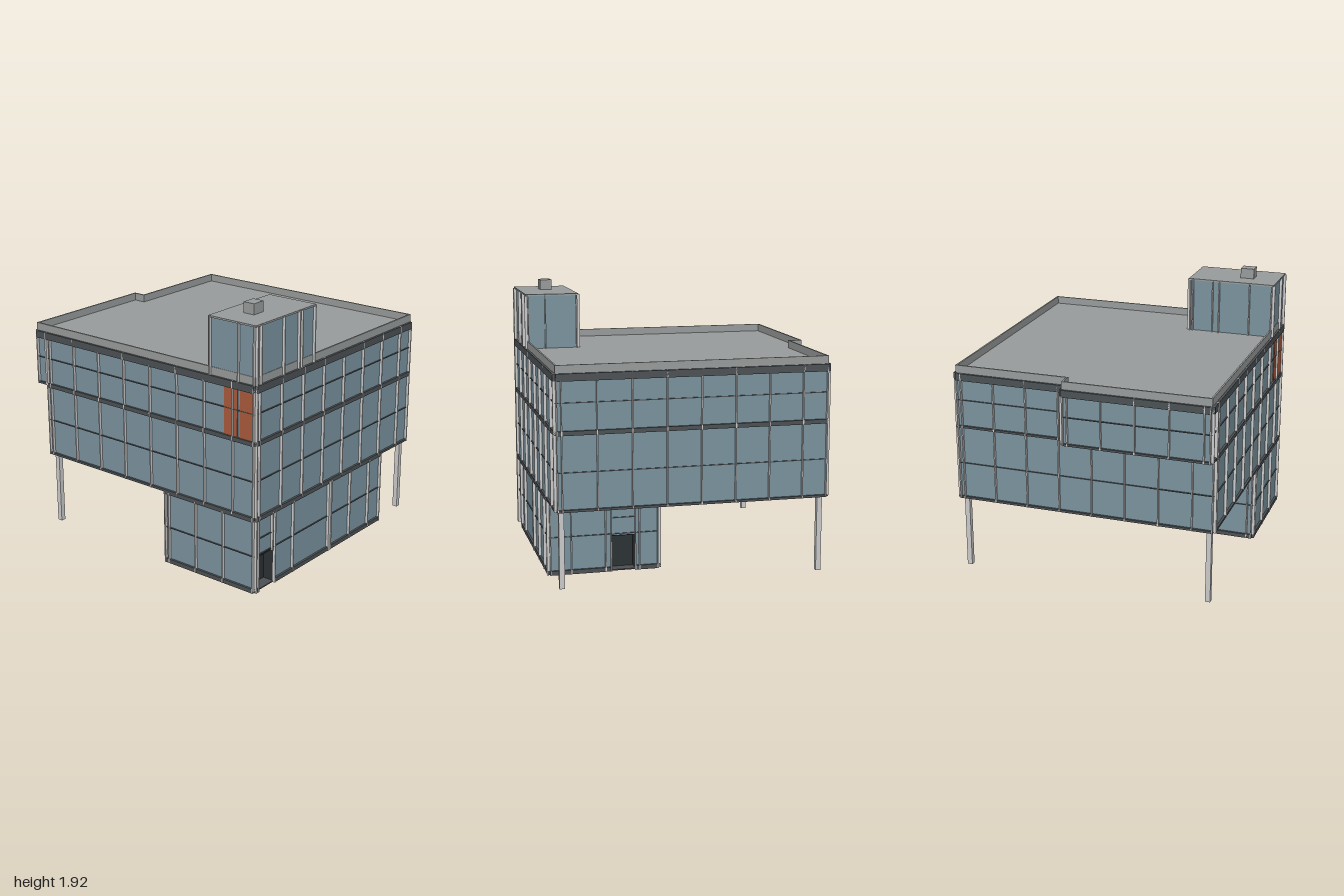
import * as THREE from 'three';

const mat = (color, side = THREE.FrontSide) =>
  new THREE.MeshStandardMaterial({ color, side });
const glass = mat(0x7b939f, THREE.DoubleSide);
const metal = mat(0xcccccc);
const dark = mat(0x4c5154);
const roofGrey = mat(0x999c9c);
const recess = mat(0x2b3134, THREE.DoubleSide);
const rust = mat(0xa85a3c);

// Box given by its min and max corners
function box(parent, name, material, [x0, y0, z0], [x1, y1, z1]) {
  const mesh = new THREE.Mesh(new THREE.BoxGeometry(x1 - x0, y1 - y0, z1 - z0), material);
  mesh.position.set((x0 + x1) / 2, (y0 + y1) / 2, (z0 + z1) / 2);
  mesh.name = name;
  parent.add(mesh);
  return mesh;
}

// Evenly spaced fin positions along a wall
function spaced(length, start = 0.035, step = 0.237) {
  const list = [];
  for (let u = start; u < length - 0.02; u += step) list.push(u);
  return list;
}

// Curtain wall from a to b ([x, z], outside on the right-hand side of travel);
// inside the group x runs along the wall, z points outwards
function wall(parent, name, a, b, y0, y1, { fins, rails = [], bands = [], door } = {}) {
  const group = new THREE.Group();
  const dx = b[0] - a[0], dz = b[1] - a[1];
  const length = Math.hypot(dx, dz);
  group.name = name;
  group.position.set(a[0], 0, a[1]);
  group.rotation.y = Math.atan2(-dz, dx);
  parent.add(group);

  // Glass sheet, notched at the foot for a doorway
  const outline = [[0, y0], [length, y0], [length, y1], [0, y1]];
  if (door) {
    const [d0, d1, h] = door;
    outline.splice(1, 0, [d0, y0], [d0, h], [d1, h], [d1, y0]);
  }
  const shape = new THREE.Shape(outline.map(p => new THREE.Vector2(...p)));
  const sheet = new THREE.Mesh(new THREE.ShapeGeometry(shape), glass);
  sheet.name = 'glass';
  group.add(sheet);

  // Horizontal bands and slim rails, interrupted by the doorway
  const strip = (label, material, lo, hi, depth) => {
    const spans = door && lo < door[2] ? [[0, door[0]], [door[1], length]] : [[0, length]];
    for (const [s, e] of spans) box(group, label, material, [s, lo, 0], [e, hi, depth]);
  };
  for (const [lo, hi, depth = 0.016] of bands) strip('band', dark, lo, hi, depth);
  for (const y of rails) strip('rail', dark, y - 0.003, y + 0.003, 0.008);

  // Vertical fins, including both ends
  for (const u of [0.004, ...(fins ?? spaced(length)), length - 0.004]) {
    const foot = door && u > door[0] + 0.01 && u < door[1] - 0.01 ? door[2] : y0;
    box(group, 'fin', metal, [u - 0.004, foot, 0], [u + 0.004, y1, 0.02]);
  }

  // Dark doorway set back behind the glass, with a rail above it
  if (door) {
    const [d0, d1, h] = door;
    box(group, 'doorway', recess, [d0, 0.005, -0.09], [d1, h, -0.08]);
    box(group, 'doorJamb', recess, [d0 - 0.005, 0.005, -0.09], [d0, h, 0]);
    box(group, 'doorJamb', recess, [d1, 0.005, -0.09], [d1 + 0.005, h, 0]);
    box(group, 'doorHead', recess, [d0, h, -0.09], [d1, h + 0.005, 0.004]);
    box(group, 'doorRail', dark, [d0, 0.377, 0], [d1, 0.383, 0.008]);
  }
  return group;
}

// Roof footprint grown by g, in shape space (y = -z)
function footprint(g, Type = THREE.Shape) {
  const points = [
    [-0.92 - g, 0.98 + g], [0.92 + g, 0.98 + g], [0.92 + g, -0.89 - g],
    [0.11 + g, -0.89 - g], [0.11 + g, -0.98 - g], [-0.92 - g, -0.98 - g],
  ];
  return new Type(points.map(([x, z]) => new THREE.Vector2(x, -z)));
}

function extrudeUp(parent, name, shape, y0, y1, material) {
  const geometry = new THREE.ExtrudeGeometry(shape, { depth: y1 - y0, bevelEnabled: false });
  geometry.rotateX(-Math.PI / 2);
  const mesh = new THREE.Mesh(geometry, material);
  mesh.position.y = y0;
  mesh.name = name;
  parent.add(mesh);
}

function createModel() {
  const model = new THREE.Group();
  model.name = 'officeBuilding';
  const L = -0.92, R = 0.92, F = 0.98, B = -0.89, bayX = 0.11, bayZ = -0.98;

  // Upper two storeys
  const upper = new THREE.Group();
  upper.name = 'upperStoreys';
  model.add(upper);
  const foot = [0.53, 0.546], middle = [1.045, 1.075], crown = [1.405, 1.455, 0.02];
  const full = { rails: [0.795, 1.26], bands: [foot, middle, crown] };
  const top = { rails: [1.26], bands: [[1.06, 1.075], crown] };
  wall(upper, 'frontWall', [L, F], [R, F], 0.53, 1.455, full);
  wall(upper, 'rightWall', [R, F], [R, B], 0.53, 1.455, full);
  const left = wall(upper, 'leftWall', [L, B], [L, F], 0.53, 1.455, full);
  wall(upper, 'backLowerWall', [R, B], [L, B], 0.53, 1.06, { rails: [0.795], bands: [foot] });
  wall(upper, 'backUpperWall', [R, B], [bayX, B], 1.06, 1.455, top);

  // Two rust-coloured panels at the front end of the left wall
  for (const u of [1.62, 1.75]) box(left, 'rustPanel', rust, [u, 1.075, 0], [u + 0.11, 1.405, 0.006]);

  // Overhanging bay at the back
  wall(upper, 'bayRightWall', [bayX, B], [bayX, bayZ], 1.06, 1.455, { ...top, fins: [] });
  wall(upper, 'bayBackWall', [bayX, bayZ], [L, bayZ], 1.06, 1.455, top);
  wall(upper, 'bayLeftWall', [L, bayZ], [L, B], 1.06, 1.455, { ...top, fins: [] });
  box(upper, 'baySoffit', dark, [L, 1.06, bayZ], [bayX, 1.07, B]);
  box(upper, 'soffit', dark, [L, 0.53, B], [R, 0.54, F]);

  // Roof deck and thin parapet
  extrudeUp(model, 'roofDeck', footprint(0), 1.44, 1.456, roofGrey);
  const rim = footprint(0.003);
  rim.holes.push(footprint(-0.009, THREE.Path));
  extrudeUp(model, 'parapet', rim, 1.455, 1.51, roofGrey);

  // Ground storey
  const ground = new THREE.Group();
  ground.name = 'groundStorey';
  model.add(ground);
  const gR = 0.575, gB = 0.215;
  const low = { rails: [0.265], bands: [[0, 0.03], [0.515, 0.53]] };
  wall(ground, 'groundFront', [L, F], [gR, F], 0, 0.53, {
    ...low, door: [0.03, 0.21, 0.25], fins: [0.03, 0.18, 0.21, 0.415, 0.865, 1.1, 1.34],
  });
  wall(ground, 'groundRight', [gR, F], [gR, gB], 0, 0.53, {
    ...low, door: [0.43, 0.6, 0.25], fins: [0.15, 0.39, 0.43, 0.6, 0.63],
  });
  wall(ground, 'groundBack', [gR, gB], [L, gB], 0, 0.53, low);
  wall(ground, 'groundLeft', [L, gB], [L, F], 0, 0.53, low);
  box(ground, 'groundSlab', dark, [L, 0, gB], [gR, 0.008, F]);
  box(ground, 'frontPier', metal, [-0.09, 0, 0.97], [-0.065, 0.53, 1]);

  // Free-standing posts
  for (const [x, z] of [[0.887, 0.95], [0.887, -0.852], [-0.887, -0.852]])
    box(model, 'post', metal, [x - 0.018, 0, z - 0.018], [x + 0.018, 0.53, z + 0.018]);

  // Roof house with its vent
  const house = new THREE.Group();
  house.name = 'roofHouse';
  model.add(house);
  const hR = -0.295, hB = 0.615;
  wall(house, 'houseFront', [L, F], [hR, F], 1.455, 1.845, { fins: [0.045, 0.285, 0.45, 0.48] });
  wall(house, 'houseRight', [hR, F], [hR, hB], 1.455, 1.845, { fins: [0.13] });
  wall(house, 'houseBack', [hR, hB], [L, hB], 1.455, 1.845, { fins: [0.025, 0.175, 0.225, 0.455] });
  wall(house, 'houseLeft', [L, hB], [L, F], 1.455, 1.845, { fins: [0.235] });
  box(house, 'houseRoof', roofGrey, [-0.93, 1.84, 0.605], [-0.285, 1.852, 0.99]);
  box(house, 'vent', roofGrey, [-0.745, 1.85, 0.745], [-0.645, 1.925, 0.83]);

  return model;
}

export { createModel };
